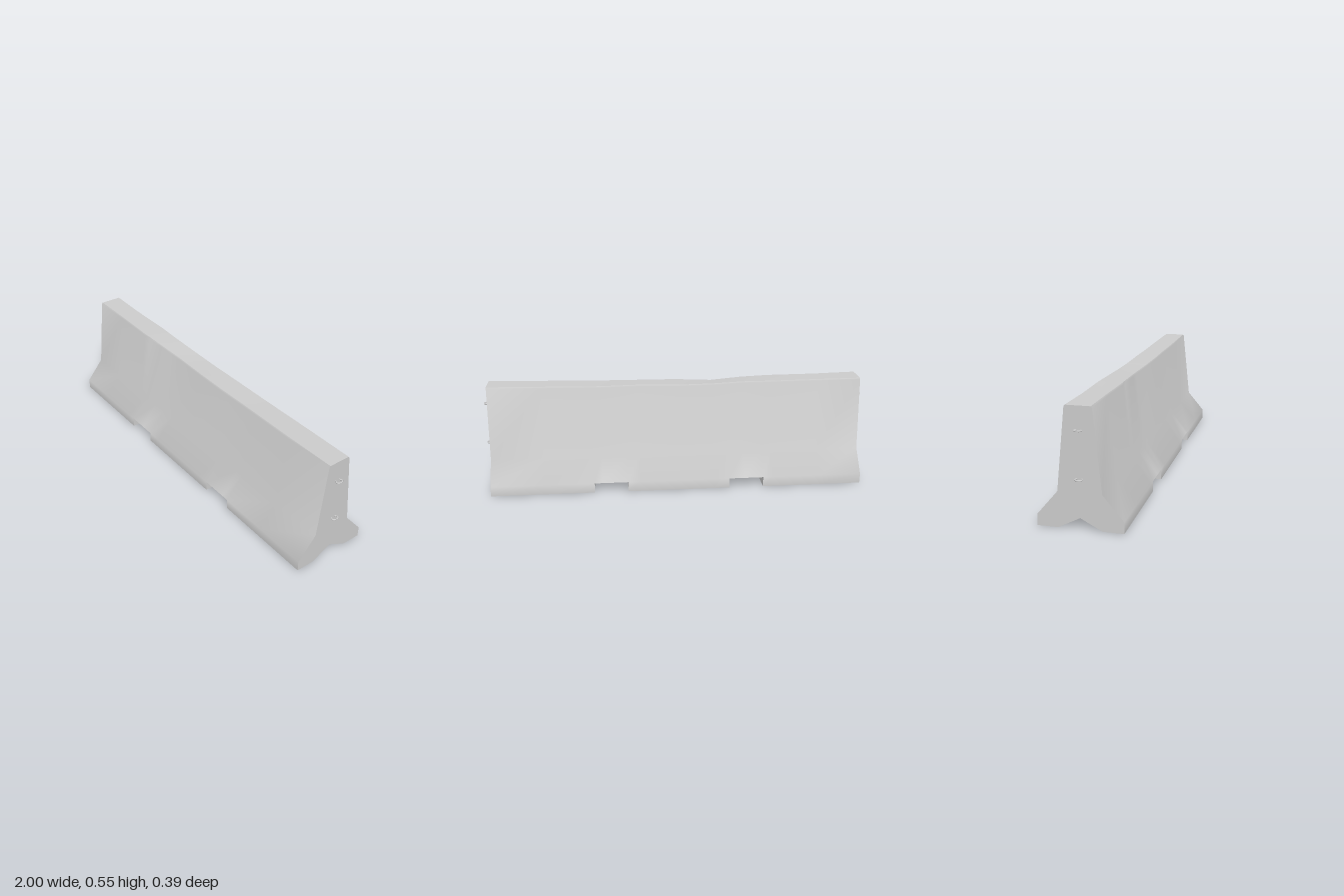
import * as THREE from 'three';
import { toCreasedNormals } from 'three/addons/utils/BufferGeometryUtils.js';

const HALF = 0.975;       // half length of the concrete body
const STEP = 0.052;       // height of the foot, groove and notches
const NOTCHES = [[-0.45, -0.27], [0.265, 0.44]];

// Worn top edge: x, front height, front z, back height, back z
const WEAR = [
  [-0.975, 0.547, 0.06, 0.547, 0.063],
  [-0.75, 0.543, 0.056, 0.545, 0.06],
  [-0.5, 0.541, 0.059, 0.544, 0.064],
  [-0.35, 0.537, 0.053, 0.543, 0.06],
  [-0.19, 0.527, 0.042, 0.537, 0.063],
  [0, 0.533, 0.053, 0.535, 0.063],
  [0.2, 0.534, 0.055, 0.54, 0.06],
  [0.4, 0.536, 0.054, 0.538, 0.063],
  [0.7, 0.541, 0.058, 0.543, 0.062],
  [0.975, 0.547, 0.06, 0.547, 0.06],
];

function wearAt(x) {
  let i = 0;
  while (i < WEAR.length - 2 && x > WEAR[i + 1][0]) i++;
  const a = WEAR[i], b = WEAR[i + 1], t = (x - a[0]) / (b[0] - a[0]);
  return a.map((v, k) => THREE.MathUtils.lerp(v, b[k], t));
}

// Cross-section [z, y], from the front foot over the top to the underside
function section(x, bottom) {
  const [, yf, zf, yb, zb] = wearAt(x);
  return [
    [0.195, bottom], [0.195, STEP], [0.1, 0.165],
    [zf, yf - 0.007], [zf - 0.005, yf],
    [-zb + 0.005, yb], [-zb, yb - 0.007],
    [-0.1, 0.165], [-0.195, STEP], [-0.195, bottom],
    [-0.1, bottom], [0, STEP], [0.1, bottom],
  ].map(([z, y]) => new THREE.Vector3(x, y, z));
}

function barrierGeometry() {
  // Two stations at each notch edge form the upright notch walls
  const stations = WEAR.map(w => [w[0], 0]);
  for (const [a, b] of NOTCHES) stations.push([a, 0], [a, STEP], [b, STEP], [b, 0]);
  for (const s of stations)
    if (NOTCHES.some(([a, b]) => s[0] > a && s[0] < b)) s[1] = STEP;
  stations.sort((p, q) => p[0] - q[0]);
  const rings = stations.map(([x, bottom]) => section(x, bottom));

  const positions = [];
  const tri = (a, b, c) => {
    const area = b.clone().sub(a).cross(c.clone().sub(a)).length();
    if (area > 1e-9) for (const p of [a, b, c]) positions.push(p.x, p.y, p.z);
  };
  for (let i = 0; i < rings.length - 1; i++) {
    const r = rings[i], s = rings[i + 1];
    for (let k = 0; k < r.length; k++) {
      const n = (k + 1) % r.length;
      tri(r[k], s[k], s[n]);
      tri(r[k], s[n], r[n]);
    }
  }
  // End faces
  const first = rings[0], last = rings[rings.length - 1];
  const outline = ring => ring.map(p => new THREE.Vector2(p.z, p.y));
  for (const [a, b, c] of THREE.ShapeUtils.triangulateShape(outline(first), []))
    tri(first[a], first[b], first[c]);
  for (const [a, b, c] of THREE.ShapeUtils.triangulateShape(outline(last), []))
    tri(last[a], last[c], last[b]);

  const geometry = new THREE.BufferGeometry();
  geometry.setAttribute('position', new THREE.Float32BufferAttribute(positions, 3));
  return toCreasedNormals(geometry, 0.75);
}

export function createModel() {
  const group = new THREE.Group();
  const material = new THREE.MeshStandardMaterial({ color: 0xcccccc });

  const body = new THREE.Mesh(barrierGeometry(), material);
  body.name = 'concreteBarrier';
  group.add(body);

  // Steel lifting loops on both ends
  const path = new THREE.CatmullRomCurve3([
    [-0.012, -0.01], [0.003, -0.012], [0.012, -0.0165], [0.02, -0.011],
    [0.0225, 0], [0.02, 0.011], [0.012, 0.0165], [0.003, 0.012], [-0.012, 0.01],
  ].map(([x, z]) => new THREE.Vector3(x, 0, z)));
  const loopGeometry = new THREE.TubeGeometry(path, 32, 0.0035, 8);
  for (const side of [1, -1]) {
    for (const y of [0.443, 0.228]) {
      const loop = new THREE.Mesh(loopGeometry, material);
      loop.name = side > 0 ? 'leftEndLoop' : 'rightEndLoop';
      loop.position.set(side * HALF, y, 0);
      if (side < 0) loop.rotation.y = Math.PI;
      group.add(loop);
    }
  }
  return group;
}
